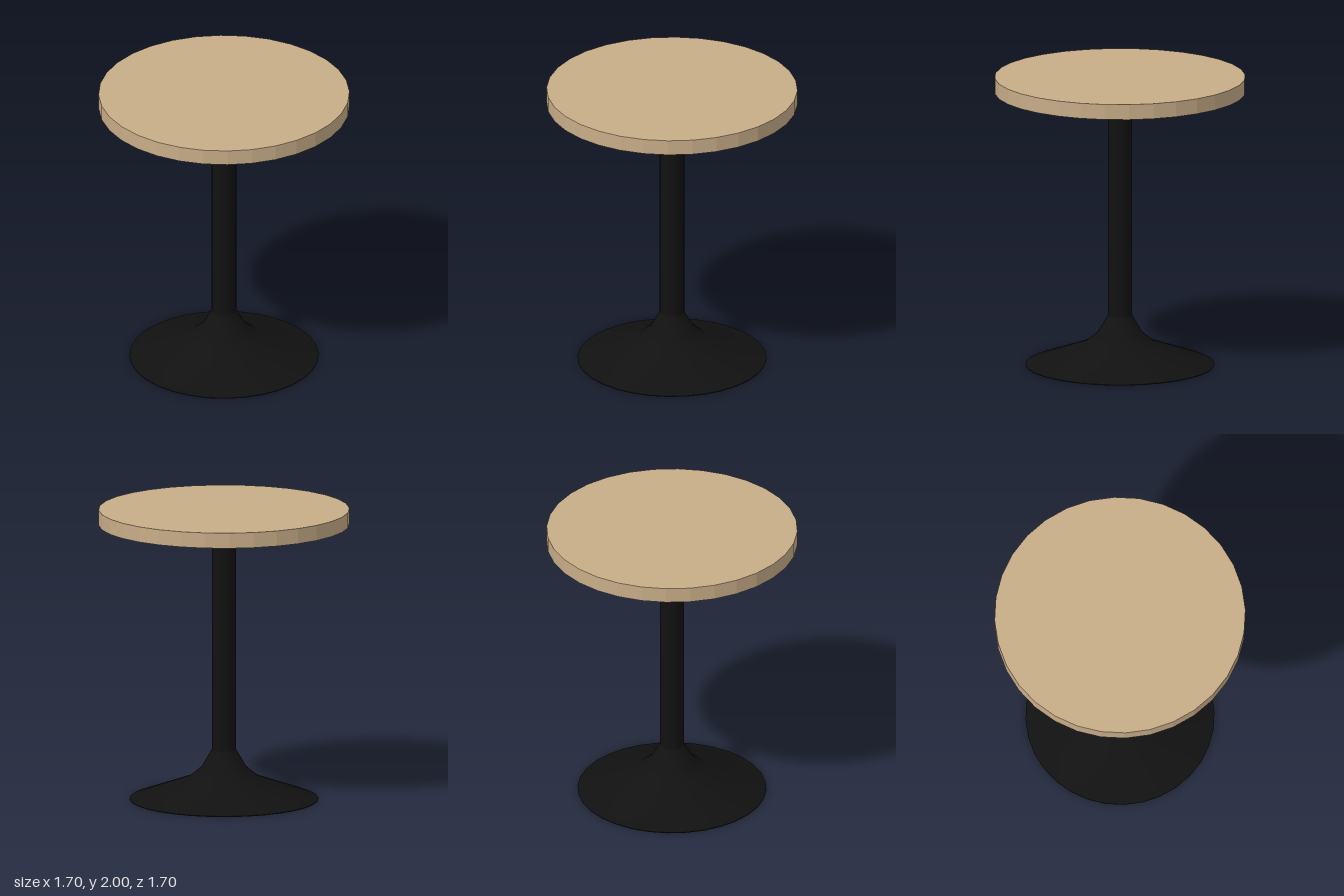
import * as THREE from 'three';
import { toCreasedNormals } from 'three/addons/utils/BufferGeometryUtils.js';

const SIDES = 32;

export function createModel() {
  const group = new THREE.Group();
  group.name = 'pedestalTable';

  const wood = new THREE.MeshStandardMaterial({ color: 0xc8ad88 });
  wood.name = 'light wood';
  const metal = new THREE.MeshStandardMaterial({ color: 0x111111 });
  metal.name = 'black metal';

  const add = (name, geometry, material, y = 0) => {
    const mesh = new THREE.Mesh(geometry, material);
    mesh.name = name;
    mesh.position.y = y;
    group.add(mesh);
  };

  // Round top with a faceted rim
  const top = new THREE.CylinderGeometry(0.85, 0.85, 0.105, SIDES).toNonIndexed();
  top.computeVertexNormals();
  add('tableTop', top, wood, 1.9475);

  // Straight column from the flared foot to the underside of the top
  add('column', new THREE.CylinderGeometry(0.083, 0.083, 1.555, SIDES, 1, true), metal, 1.1175);

  // Flared foot, closed underneath
  const profile = [[0, 0], [0.64, 0], [0.64, 0.005], [0.24, 0.15], [0.153, 0.222], [0.083, 0.342]]
    .map(([r, y]) => new THREE.Vector2(r, y));
  add('base', toCreasedNormals(new THREE.LatheGeometry(profile, SIDES), 0.6), metal);

  return group;
}
